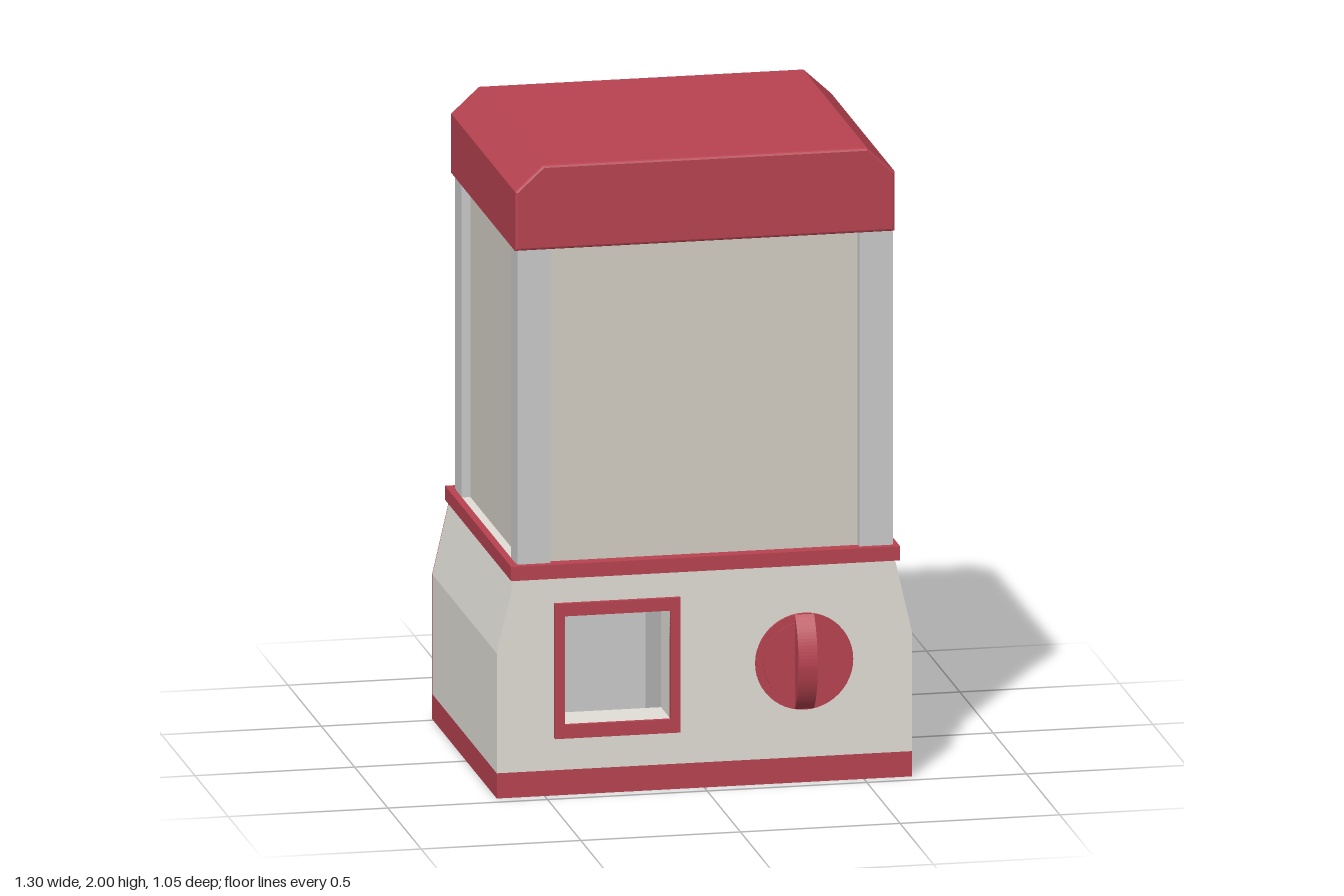
import * as THREE from 'three';

const mat = (color) => new THREE.MeshStandardMaterial({ color, side: THREE.DoubleSide });
const RED = mat(0xb84350), CREAM = mat(0xe2dfd7), GREY = mat(0xcccccc), PANE = mat(0xd4d0c5);
const BACK = -0.513, FRONT = 0.457, SKIN = 0.004;

export function createModel() {
  const model = new THREE.Group();

  const add = (name, geometry, material) => {
    const mesh = new THREE.Mesh(geometry, material);
    mesh.name = name;
    model.add(mesh);
    return mesh;
  };
  // Box given by its minimum and maximum corners
  const box = (name, material, [x0, y0, z0], [x1, y1, z1]) => {
    const mesh = add(name, new THREE.BoxGeometry(x1 - x0, y1 - y0, z1 - z0), material);
    mesh.position.set((x0 + x1) / 2, (y0 + y1) / 2, (z0 + z1) / 2);
  };
  const poly = (points) => new THREE.Shape(points.map(([x, y]) => new THREE.Vector2(x, y)));
  const rect = (x0, y0, x1, y1) => poly([[x0, y0], [x1, y0], [x1, y1], [x0, y1]]);
  const withHole = (shape, hole) => {
    shape.holes.push(hole);
    return shape;
  };
  // Extrusion along z from z0 to z1, with optionally eased edges
  const slab = (name, material, shape, z0, z1, ease = 0) => {
    const g = new THREE.ExtrudeGeometry(shape, {
      depth: z1 - z0 - 2 * ease, curveSegments: 32,
      bevelEnabled: ease > 0, bevelSize: ease, bevelThickness: ease, bevelOffset: -ease, bevelSegments: 2,
    });
    return add(name, g.translate(0, 0, z0 + ease), material);
  };

  // Lower housing: thin shell, open underneath, tapered above the shoulder
  const opening = rect(-0.44, 0.225, -0.107, 0.57);
  const profile = (y0) => poly([[-0.65, y0], [0.65, y0], [0.65, 0.46], [0.595, 0.7], [-0.595, 0.7], [-0.65, 0.46]]);
  slab('frontPanel', CREAM, withHole(profile(0.08), opening), FRONT - SKIN, FRONT);
  slab('backPanel', RED, profile(0), BACK, BACK + SKIN);
  for (const s of [-1, 1]) {
    const wall = poly([[0.65, 0.08], [0.65, 0.46], [0.595, 0.7], [0.595 - SKIN, 0.7], [0.65 - SKIN, 0.46], [0.65 - SKIN, 0.08]]
      .map(([x, y]) => [s * x, y]));
    slab(s > 0 ? 'leftWall' : 'rightWall', CREAM, wall, BACK + SKIN, FRONT - SKIN);
  }

  // Red band round the foot
  const band = withHole(rect(-0.65, -FRONT, 0.65, -BACK - SKIN),
    rect(-0.65 + SKIN, -FRONT + SKIN, 0.65 - SKIN, -BACK - 2 * SKIN));
  slab('footBand', RED, band, 0, 0.08).rotation.x = -Math.PI / 2;

  // Rim and display floor
  const rim = withHole(rect(-0.607, -0.468, 0.611, 0.525), rect(-0.585, -0.425, 0.592, 0.475));
  slab('rim', RED, rim, 0.69, 0.735).rotation.x = -Math.PI / 2;
  box('displayFloor', CREAM, [-0.587, 0.695, -0.48], [0.594, 0.73, 0.43]);

  // Display case with corner pillars
  box('displayPanes', PANE, [-0.555, 0.73, -0.468], [0.562, 1.74, 0.419]);
  for (const [x0, x1] of [[-0.583, -0.479], [0.488, 0.593]]) {
    box('frontPillar', GREY, [x0, 0.73, 0.349], [x1, 1.75, 0.445]);
    box('backPillar', GREY, [x0, 0.73, -0.492], [x1, 1.75, -0.395]);
  }

  // Roof with sloped sides and eased edges
  const roofShape = poly([[-0.595, 1.732], [0.595, 1.732], [0.595, 1.92], [0.508, 2], [-0.508, 2], [-0.595, 1.92]]);
  slab('roof', RED, roofShape, BACK, FRONT, 0.008).position.x = 0.003;

  // Prize window: frame and recess lining, leading into an open-fronted chute
  slab('windowFrame', RED, withHole(rect(-0.47, 0.182, -0.077, 0.61), opening), FRONT - 0.01, FRONT + 0.014);
  slab('windowLining', CREAM, withHole(rect(-0.444, 0.221, -0.103, 0.574), opening), 0.32, FRONT - SKIN);
  const chute = withHole(rect(-0.455, 0.045, -0.075, 0.62), rect(-0.451, 0.049, -0.079, 0.616));
  slab('chuteWalls', GREY, chute, -0.05, 0.32);
  box('chuteBack', GREY, [-0.455, 0.045, -0.054], [-0.075, 0.62, -0.05]);

  // Turning knob: disc, raised face and curved grip
  const disc = (name, r, z0, z1) => {
    const g = new THREE.CylinderGeometry(r, r, z1 - z0, 48).rotateX(Math.PI / 2);
    add(name, g, RED).position.set(0.312, 0.385, (z0 + z1) / 2);
  };
  disc('knobDisc', 0.153, 0.44, 0.465);
  disc('knobFace', 0.128, 0.46, 0.47);
  const grip = new THREE.Shape();
  grip.moveTo(0, -0.15);
  grip.quadraticCurveTo(0.055, -0.09, 0.058, 0);
  grip.quadraticCurveTo(0.055, 0.09, 0, 0.15);
  const gripGeo = new THREE.ExtrudeGeometry(grip, { depth: 0.06, bevelEnabled: false, curveSegments: 16 });
  gripGeo.translate(0, 0, -0.03).rotateY(-Math.PI / 2);
  add('knobGrip', gripGeo, RED).position.set(0.312, 0.385, 0.465);

  return model;
}
